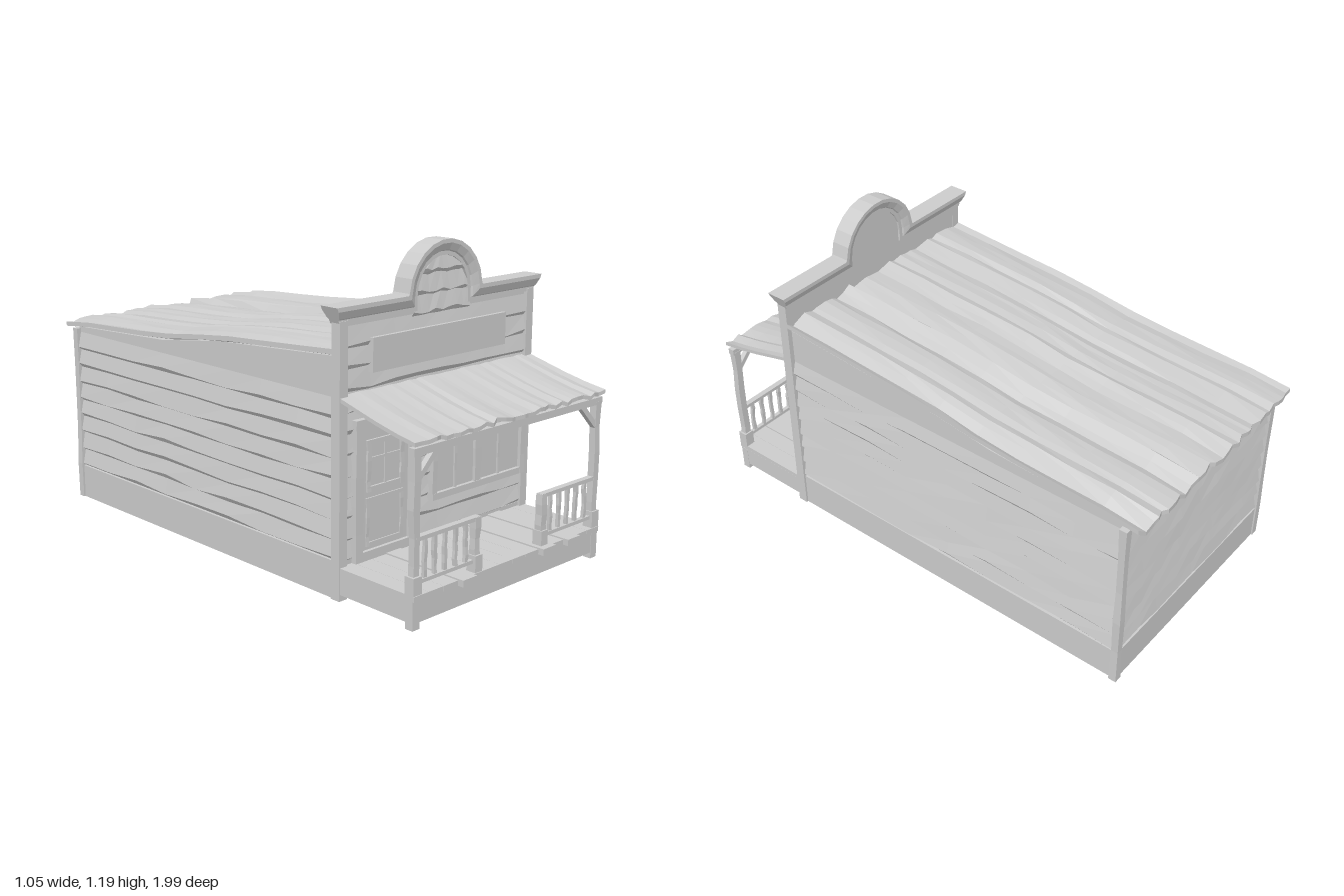
import * as THREE from 'three';

const grey = new THREE.MeshStandardMaterial({ color: 0xcccccc, flatShading: true });
const thin = new THREE.MeshStandardMaterial({ color: 0xcccccc, flatShading: true, side: THREE.DoubleSide });

// repeatable noise: 0..1 and -1..1
const rnd = n => { const s = Math.sin(n * 12.9898 + 4.1) * 43758.5453; return s - Math.floor(s); };
const wob = n => rnd(n) * 2 - 1;

// move every vertex of a geometry by a rule
function bend(geo, rule) {
  const p = geo.attributes.position;
  for (let i = 0; i < p.count; i++) p.setXYZ(i, ...rule(p.getX(i), p.getY(i), p.getZ(i)));
  geo.computeVertexNormals();
  return geo;
}

// straight-line interpolation through [key, value] points with falling keys
function along(points, k) {
  for (let i = 1; i < points.length; i++) {
    const [a, va] = points[i - 1], [b, vb] = points[i];
    if (k >= b || i === points.length - 1) return va + (vb - va) * (a - k) / (a - b);
  }
}

export function createModel() {
  const model = new THREE.Group();
  const add = (name, geo, parent = model, mat = grey) => {
    const m = new THREE.Mesh(geo, mat);
    m.name = name;
    parent.add(m);
    return m;
  };
  const group = name => { const g = new THREE.Group(); g.name = name; model.add(g); return g; };
  const box = (name, x0, x1, y0, y1, z0, z1, parent) => {
    const m = add(name, new THREE.BoxGeometry(x1 - x0, y1 - y0, z1 - z0), parent);
    m.position.set((x0 + x1) / 2, (y0 + y1) / 2, (z0 + z1) / 2);
    return m;
  };
  // upright timber with a crooked outline
  const timber = (name, x, z, w, d, y0, y1, amp, seed, parent) => {
    const n = 5, h = y1 - y0;
    const geo = bend(new THREE.BoxGeometry(w, h, d, 1, n, 1), (px, py, pz) => {
      const k = Math.round((py / h + 0.5) * n);
      const f = 1 + 0.12 * wob(seed + k * 3.3);
      return [px * f + amp * wob(seed + k), py, pz * f + amp * 0.5 * wob(seed + k + 50)];
    });
    add(name, geo, parent).position.set(x, (y0 + y1) / 2, z);
  };
  const frame = (name, x0, x1, y0, y1, t, z0, z1, parent) => {
    timber(name + 'Left', x0 + t / 2, (z0 + z1) / 2, t, z1 - z0, y0, y1, 0.002, x0 * 77, parent);
    timber(name + 'Right', x1 - t / 2, (z0 + z1) / 2, t, z1 - z0, y0, y1, 0.002, x1 * 91, parent);
    box(name + 'Bottom', x0, x1, y0, y0 + t, z0, z1, parent);
    box(name + 'Top', x0, x1, y1 - t, y1, z0, z1, parent);
  };
  // overlapping boards: a saw-tooth sheet with uneven lips, facing +z
  const siding = (name, half, y0, pitch, boards, seed) => {
    const nx = 8, ny = boards * 2;
    const geo = bend(new THREE.PlaneGeometry(2, 1, nx, ny), (px, py) => {
      const c = Math.round((px + 1) / 2 * nx), r = Math.round((py + 0.5) * ny), k = r >> 1;
      const base = y0 + k * pitch + (k > 0 && r < ny ? 0.004 * wob(seed + k * 17 + c) : 0);
      const lip = r % 2 ? 0.006 + 0.014 * rnd(seed + k * 31 + c * 7) : 0;
      const y = base + lip;
      return [px * half(y), y, r % 2 ? 0.013 : 0];
    });
    return add(name, geo, model, thin);
  };

  // main body under the sloping roof
  const roofLine = [[0.6, 0.862], [0, 0.82], [-0.35, 0.772], [-0.9, 0.745], [-1, 0.728]];
  const side = new THREE.Shape();
  side.moveTo(-0.912, 0.1).lineTo(0.6, 0.1);
  [0.6, 0, -0.35, -0.912].forEach(z => side.lineTo(z, along(roofLine, z) - 0.022));
  const bodyGeo = new THREE.ExtrudeGeometry(side, { depth: 0.956, bevelEnabled: false });
  add('body', bodyGeo.rotateY(-Math.PI / 2).translate(0.478, 0, 0));

  // base boards, side siding and corner boards
  for (const s of [-1, 1]) {
    box('sideBaseBoard', s * 0.478 - 0.011, s * 0.478 + 0.011, 0, 0.135, -0.92, 0.62);
    const wall = siding('sideSiding', () => 0.755, 0.135, 0.0706, 8, 20 + s * 9);
    wall.rotation.y = s * Math.PI / 2;
    wall.position.set(s * 0.478, 0, -0.15);
    timber('backCornerBoard', s * 0.482, -0.917, 0.028, 0.028, 0, 0.715, 0.002, 60 + s);
    box('frontCornerBoard', s * 0.4785 - 0.0185, s * 0.4785 + 0.0185, 0, 0.96, 0.598, 0.638);
  }
  box('backBaseBoard', -0.478, 0.478, 0, 0.135, -0.925, -0.903);
  box('frontBaseBoard', -0.478, 0.478, 0, 0.135, 0.6, 0.628);
  const back = siding('backSiding', () => 0.475, 0.135, 0.0706, 8, 71);
  back.rotation.y = Math.PI;
  back.position.z = -0.912;

  // rippled roof sheet
  const ripple = [-0.004, -0.012, 0.004, 0.006, 0.002, -0.006, 0.01];
  const nx = 30, nz = 9;
  add('roof', bend(new THREE.BoxGeometry(1, 1, 1, nx, 1, nz), (px, py, pz) => {
    const c = Math.round((px + 0.5) * nx), r = Math.round((pz + 0.5) * nz);
    const rear = r === 0 ? 0.025 * rnd(c + 8) : 0;
    const z = -0.995 + rear + (0.605 + 0.995) * r / nz;
    const inner = c > 0 && c < nx;
    const x = px * 0.994 + (inner ? 0.01 * wob(c) + 0.005 * wob(c * 5 + r) : 0);
    const y = along(roofLine, z) + ripple[c % 7] + 0.007 * wob(c * 2.3) + 0.002 * wob(c + r * 13);
    return [x, y + py * 0.018, z];
  }));

  // false front with a rounded crown
  const front = new THREE.Shape();
  front.moveTo(-0.48, 0.1).lineTo(0.48, 0.1).lineTo(0.48, 0.98).lineTo(0.15, 0.98).lineTo(0.15, 1);
  front.absarc(0, 1, 0.15, 0, Math.PI, false);
  front.lineTo(-0.15, 0.98).lineTo(-0.48, 0.98);
  const plate = new THREE.ExtrudeGeometry(front, { depth: 0.022, bevelEnabled: false, curveSegments: 11 });
  add('falseFront', plate.translate(0, 0, 0.6));
  siding('frontSiding', () => 0.465, 0.13, 0.0735, 11, 5).position.z = 0.622;
  siding('crownSiding', y => Math.sqrt(Math.max(0, 0.145 ** 2 - Math.max(0, y - 1) ** 2)), 0.93, 0.07, 3, 40)
    .position.z = 0.6222;

  // cornice: a flared moulding swept over the crown
  const inner = [[-0.495, 0.95], [-0.13, 0.95]], outer = [[-0.523, 1.01], [-0.19, 1.01]];
  for (let i = 0; i <= 11; i++) {
    const t = Math.PI * (1 - i / 11), u = 0.09 + (Math.PI - 0.18) * (1 - i / 11);
    inner.push([0.13 * Math.cos(t), 1 + 0.13 * Math.sin(t)]);
    outer.push([0.187 * Math.cos(u), 1 + 0.187 * Math.sin(u)]);
  }
  inner.push([0.13, 0.95], [0.495, 0.95]);
  outer.push([0.19, 1.01], [0.523, 1.01]);
  const rise = [[0, 0.022], [0.25, 0.022], [0.32, 0.028], [0.75, 0.039], [1, 0.039]];
  const profile = [...rise.map(([d, z]) => [d, -z]), ...rise.slice().reverse()];
  const m = profile.length, pos = [], idx = [];
  inner.forEach(([ix, iy], i) => profile.forEach(([d, z]) =>
    pos.push(ix + (outer[i][0] - ix) * d, iy + (outer[i][1] - iy) * d, 0.613 + z)));
  const quad = (a, b, c, d) => idx.push(a, b, c, a, c, d);
  const last = (inner.length - 1) * m;
  for (let i = 0; i < last; i += m)
    for (let j = 0; j < m; j++) quad(i + j, i + (j + 1) % m, i + m + (j + 1) % m, i + m + j);
  for (let j = 0; j < m / 2 - 1; j++) {
    quad(m - 1 - j, m - 2 - j, j + 1, j);
    quad(last + j, last + j + 1, last + m - 2 - j, last + m - 1 - j);
  }
  const cornice = new THREE.BufferGeometry();
  cornice.setAttribute('position', new THREE.Float32BufferAttribute(pos, 3));
  cornice.setIndex(idx);
  cornice.computeVertexNormals();
  add('cornice', cornice);
  box('signBoard', -0.352, 0.33, 0.772, 0.89, 0.62, 0.646);

  // door
  const door = group('door');
  box('doorPanel', -0.4, -0.16, 0.12, 0.6, 0.62, 0.637, door);
  frame('doorFrame', -0.43, -0.135, 0.12, 0.62, 0.033, 0.62, 0.65, door);
  frame('doorWindowFrame', -0.372, -0.192, 0.36, 0.542, 0.018, 0.63, 0.645, door);
  box('doorMuntinUpright', -0.286, -0.276, 0.37, 0.53, 0.63, 0.642, door);
  box('doorMuntinCross', -0.36, -0.2, 0.47, 0.479, 0.63, 0.642, door);
  frame('doorLowerPanel', -0.372, -0.192, 0.165, 0.338, 0.014, 0.63, 0.642, door);

  // double window
  const win = group('window');
  box('glass', -0.04, 0.45, 0.27, 0.6, 0.62, 0.637, win);
  frame('windowFrame', -0.05, 0.46, 0.258, 0.62, 0.024, 0.62, 0.651, win);
  timber('windowMullion', 0.195, 0.637, 0.035, 0.026, 0.27, 0.61, 0.001, 33, win);
  for (const x of [0.076, 0.317]) {
    timber('windowMuntin', x, 0.637, 0.011, 0.014, 0.28, 0.6, 0.002, x * 50, win);
    box('windowCrossBar', x - 0.105, x + 0.105, 0.438, 0.454, 0.63, 0.646, win);
  }

  // porch deck, with three boards reaching further out
  const porch = group('porch');
  for (let i = 0; i < 14; i++) {
    const x = -0.493 + i * 0.0704, far = [3, 9, 11].includes(i);
    box('deckBoard', x, x + 0.0695, 0.1, far ? 0.124 : 0.119, 0.625, far ? 1 : 0.978, porch);
  }
  box('porchFrontSkirt', -0.49, 0.49, 0.022, 0.102, 0.955, 0.97, porch);
  for (const s of [-1, 1]) {
    box('porchSideSkirt', s * 0.484 - 0.008, s * 0.484 + 0.008, 0.024, 0.102, 0.63, 0.965, porch);
    box('porchFoot', s * 0.476 - 0.017, s * 0.476 + 0.017, 0, 0.1, 0.94, 0.972, porch);
    // corner post, newel and brace
    timber('porchPost', s * 0.474, 0.955, 0.028, 0.026, 0.12, 0.59, 0.003, 80 + s * 4, porch);
    box('postBase', s * 0.474 - 0.02, s * 0.474 + 0.02, 0.118, 0.18, 0.936, 0.975, porch);
    timber('newel', s * 0.176, 0.955, 0.026, 0.026, 0.12, 0.31, 0.002, 90 + s * 4, porch);
    box('newelBase', s * 0.176 - 0.018, s * 0.176 + 0.018, 0.118, 0.178, 0.936, 0.975, porch);
    const brace = add('brace', new THREE.BoxGeometry(0.125, 0.02, 0.02), porch);
    brace.position.set(s * 0.425, 0.542, 0.955);
    brace.rotation.z = -s * Math.PI / 4;
    // railing
    box('topRail', Math.min(s * 0.165, s * 0.474), Math.max(s * 0.165, s * 0.474), 0.297, 0.311, 0.944, 0.967, porch);
    box('bottomRail', Math.min(s * 0.176, s * 0.474), Math.max(s * 0.176, s * 0.474), 0.15, 0.163, 0.947, 0.964, porch);
    for (let i = 1; i <= 5; i++)
      timber('baluster', s * (0.176 + i * 0.0497), 0.955, 0.014, 0.012, 0.16, 0.3, 0.003, 100 + i * 9 + s, porch);
  }
  box('awningBeam', -0.492, 0.492, 0.58, 0.606, 0.942, 0.968, porch);

  // awning sheet with a ragged front edge
  const awningLine = [[0.98, 0.62], [0.85, 0.643], [0.62, 0.705]];
  add('awning', bend(new THREE.BoxGeometry(1, 1, 1, 32, 1, 4), (px, py, pz) => {
    const c = Math.round((px + 0.5) * 32), r = Math.round((pz + 0.5) * 4);
    const z = 0.62 + 0.09 * r - (r === 4 ? 0.012 * rnd(c + 3) : 0);
    const x = px * 0.988 + (c > 0 && c < 32 ? 0.008 * wob(c + 200) : 0);
    return [x, along(awningLine, z) + 0.006 * wob(c * 1.7) * (0.3 + r / 4) + py * 0.014, z];
  }), porch);

  return model;
}
